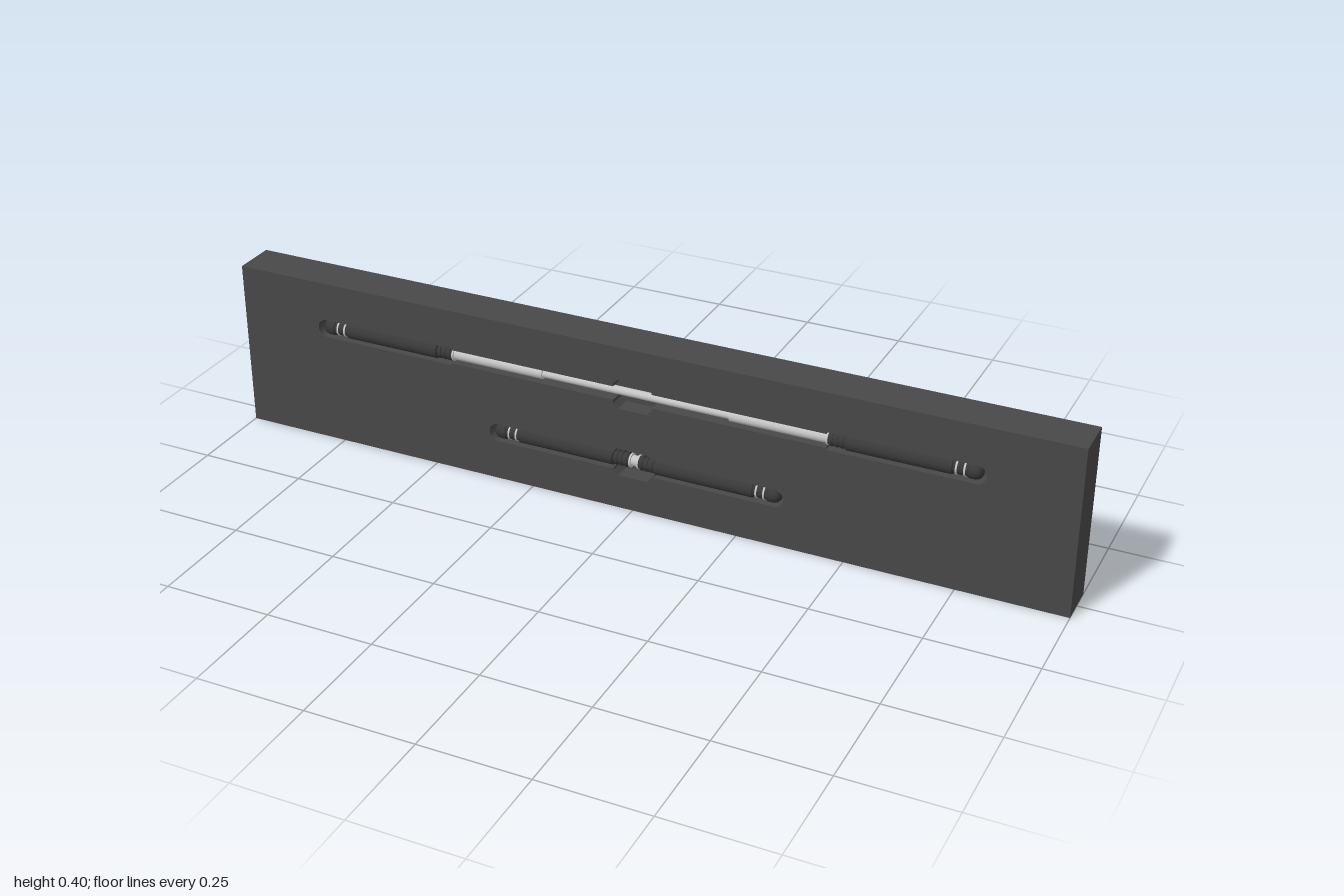
import * as THREE from 'three';

const foamMat = new THREE.MeshStandardMaterial({ color: 0x484848 });
foamMat.name = 'charcoal foam';
const gripMat = new THREE.MeshStandardMaterial({ color: 0x383838 });
gripMat.name = 'dark grip';
const steelMat = new THREE.MeshStandardMaterial({ color: 0xc4c4c4 });
steelMat.name = 'polished steel';

const AXIS_Z = 0.032; // depth of the rod axes
const FLOOR_Z = 0.01; // bottom of the recesses
const UPPER_Y = 0.286, LOWER_Y = 0.118;

function add(parent, name, geometry, material) {
  const mesh = new THREE.Mesh(geometry, material);
  mesh.name = name;
  parent.add(mesh);
  return mesh;
}

// Recess outline: round ends, stepped waist and a chamfered finger notch
function recess(y, end, step, waist) {
  const r = 0.0215, nx = 0.046, nh = 0.036, c = 0.012;
  const path = new THREE.Path();
  path.moveTo(-nx, y - waist);
  path.lineTo(-nx, y - nh + c);
  path.lineTo(-nx + c, y - nh);
  path.lineTo(nx - c, y - nh);
  path.lineTo(nx, y - nh + c);
  path.lineTo(nx, y - waist);
  path.lineTo(step, y - waist);
  path.lineTo(step, y - r);
  path.absarc(end - r, y, r, -Math.PI / 2, Math.PI / 2, false);
  path.lineTo(step, y + r);
  path.lineTo(step, y + waist);
  path.lineTo(nx, y + waist);
  path.lineTo(nx, y + nh - c);
  path.lineTo(nx - c, y + nh);
  path.lineTo(-nx + c, y + nh);
  path.lineTo(-nx, y + nh - c);
  path.lineTo(-nx, y + waist);
  path.lineTo(-step, y + waist);
  path.lineTo(-step, y + r);
  path.absarc(-end + r, y, r, Math.PI / 2, Math.PI * 1.5, false);
  path.lineTo(-step, y - r);
  path.lineTo(-step, y - waist);
  path.closePath();
  return path;
}

// Solid of revolution along +x from [x, radius] pairs
function turned(profile) {
  const points = profile.map(([x, r]) => new THREE.Vector2(r, x));
  return new THREE.LatheGeometry(points, 24).rotateZ(-Math.PI / 2);
}

function tube(x0, x1, r) {
  return new THREE.CylinderGeometry(r, r, x1 - x0, 24)
    .rotateZ(Math.PI / 2).translate((x0 + x1) / 2, 0, 0);
}

// Handle pointing along +x, with its thick part starting at x = 0
function buildHandle(name) {
  const handle = new THREE.Group();
  handle.name = name;
  add(handle, 'grip', turned([
    [0, 0], [0, 0.0175], [0.002, 0.0193], [0.002, 0.0193], [0.234, 0.0193], [0.234, 0.0193],
    [0.236, 0.0165], [0.236, 0.0165], [0.268, 0.0165], [0.268, 0.0165],
    [0.27, 0.0193], [0.27, 0.0193], [0.284, 0.0193], [0.291, 0.0175],
    [0.297, 0.012], [0.3, 0]
  ]), gripMat);
  for (const x of [0.241, 0.259]) add(handle, 'gripRing', tube(x, x + 0.004, 0.0178), steelMat);
  // Ribbed collar between grip and shaft
  add(handle, 'collar', tube(-0.04, 0.001, 0.015), gripMat);
  for (let i = 0; i < 3; i++) {
    const x = -0.034 + i * 0.012;
    add(handle, 'collarRib', tube(x, x + 0.006, 0.0172), gripMat);
  }
  add(handle, 'collarRing', tube(-0.0425, -0.0385, 0.0165), steelMat);
  return handle;
}

function addHandles(staff, x) {
  for (const side of [1, -1]) {
    const handle = buildHandle(side > 0 ? 'leftHandle' : 'rightHandle');
    handle.position.x = side * x;
    if (side < 0) handle.rotation.y = Math.PI;
    staff.add(handle);
  }
}

export function createModel() {
  const model = new THREE.Group();
  model.name = 'staffDisplay';

  // Foam block: solid back and a cut-out front layer
  const block = new THREE.Group();
  block.name = 'foamBlock';
  model.add(block);
  add(block, 'blockBack', new THREE.BoxGeometry(2, 0.4, FLOOR_Z + 0.05)
    .translate(0, 0.2, (FLOOR_Z - 0.05) / 2), foamMat);
  const face = new THREE.Shape([[-1, 0], [1, 0], [1, 0.4], [-1, 0.4]]
    .map(([x, y]) => new THREE.Vector2(x, y)));
  face.holes.push(recess(UPPER_Y, 0.8, 0.45, 0.0165), recess(LOWER_Y, 0.358, 0.05, 0.0195));
  add(block, 'blockFront', new THREE.ExtrudeGeometry(face, {
    depth: 0.05 - FLOOR_Z, bevelEnabled: false, curveSegments: 12
  }).translate(0, 0, FLOOR_Z), foamMat);

  // Extended staff with telescoping steel shaft
  const longStaff = new THREE.Group();
  longStaff.name = 'extendedStaff';
  longStaff.position.set(0, UPPER_Y, AXIS_Z);
  model.add(longStaff);
  addHandles(longStaff, 0.49);
  add(longStaff, 'innerShaft', tube(-0.23, 0.23, 0.0095), steelMat);
  for (const side of [1, -1]) {
    const shaft = add(longStaff, 'outerShaft', tube(0.225, 0.452, 0.0135), steelMat);
    if (side < 0) shaft.rotation.y = Math.PI;
  }

  // Collapsed staff with the collars meeting in the middle
  const shortStaff = new THREE.Group();
  shortStaff.name = 'collapsedStaff';
  shortStaff.position.set(0, LOWER_Y, AXIS_Z);
  model.add(shortStaff);
  addHandles(shortStaff, 0.05);
  add(shortStaff, 'centreShaft', tube(-0.012, 0.012, 0.0125), steelMat);

  return model;
}
